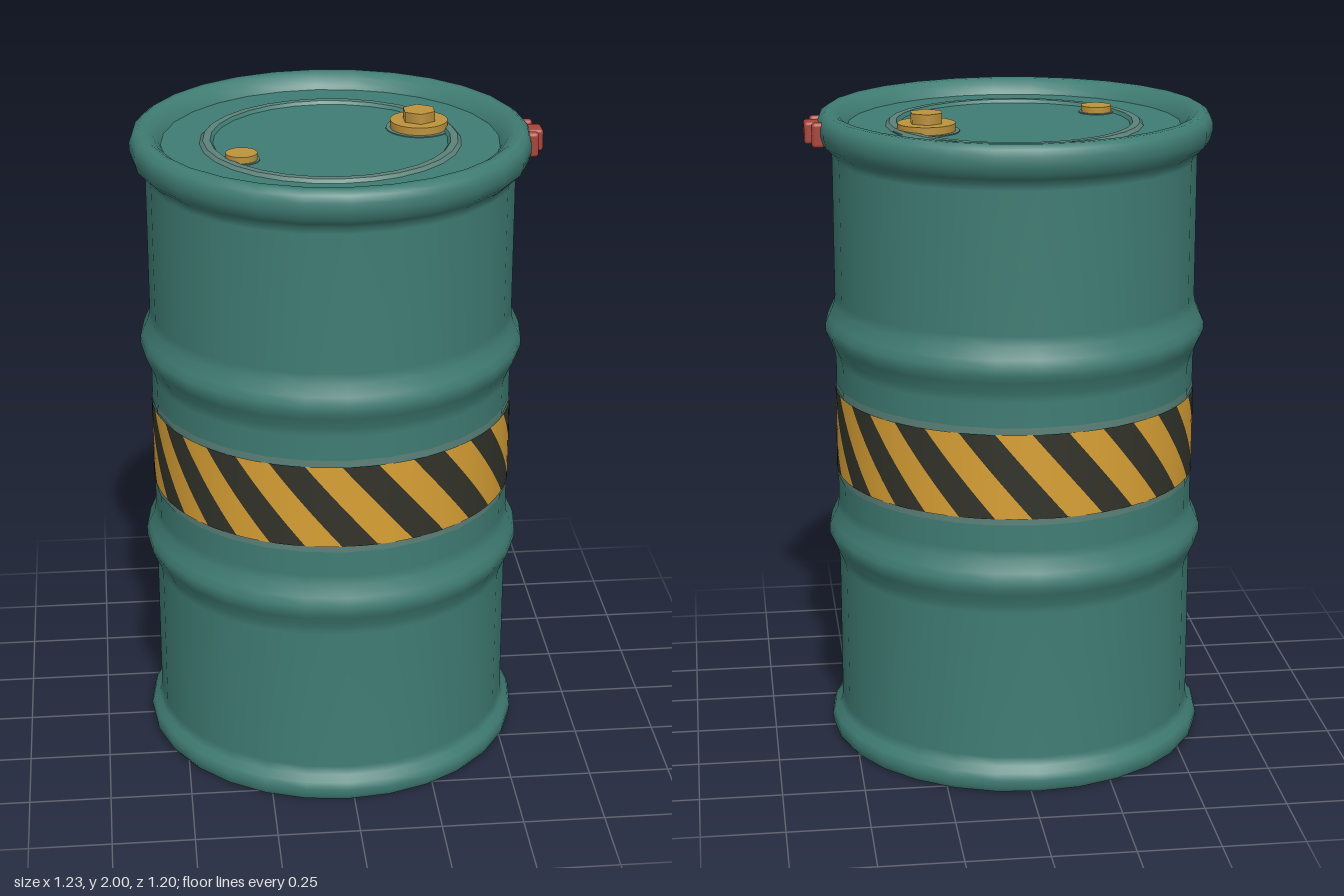
import * as THREE from 'three';
import { mergeGeometries } from 'three/addons/utils/BufferGeometryUtils.js';
import { RoundedBoxGeometry } from 'three/addons/geometries/RoundedBoxGeometry.js';

const SIDES = 28;
const AXIS_X = -0.02; // the clasp on one side pushes the drum off centre
const LID_Y = 1.943;

function material(name, color) {
  const m = new THREE.MeshStandardMaterial({ color });
  m.name = name;
  return m;
}

// Profile of [radius, height] pairs, running up the outside and in over the top
function lathe(profile) {
  return new THREE.LatheGeometry(profile.map(([r, y]) => new THREE.Vector2(r, y)), SIDES);
}

// Rolling hoop bulging out of the wall around height y
function hoop(y) {
  return [[0.553, y - 0.1], [0.558, y - 0.07], [0.574, y - 0.035], [0.584, y - 0.012],
    [0.584, y + 0.012], [0.574, y + 0.035], [0.558, y + 0.07], [0.553, y + 0.1]];
}

// Slanted patches wrapped around the wall; every second one belongs to each colour
function stripes(offset) {
  const count = 16, radius = 0.556, height = 0.26;
  const pitch = (Math.PI * 2) / count;
  const patches = [];
  for (let i = 0; i < count; i++) {
    const g = new THREE.CylinderGeometry(radius, radius, height, 4, 8, true,
      (i + offset) * pitch, pitch / 2);
    const p = g.attributes.position, n = g.attributes.normal;
    for (let v = 0; v < p.count; v++) {
      const a = Math.atan2(p.getX(v), p.getZ(v)) - (p.getY(v) / height) * pitch;
      p.setXYZ(v, radius * Math.sin(a), p.getY(v), radius * Math.cos(a));
      n.setXYZ(v, Math.sin(a), 0, Math.cos(a));
    }
    patches.push(g);
  }
  return mergeGeometries(patches);
}

export function createModel() {
  const green = material('drumGreen', 0x3f7c73);
  const worn = material('wornPaint', 0x5c8179);
  const yellow = material('hazardYellow', 0xd8a034);
  const black = material('hazardBlack', 0x33332b);
  const brass = material('brass', 0xbc923d);
  const red = material('claspRed', 0xa8433a);

  const model = new THREE.Group();
  model.name = 'drum';
  const barrel = new THREE.Group();
  barrel.name = 'barrel';
  barrel.position.x = AXIS_X;
  model.add(barrel);

  function add(parent, name, geometry, mat, x = 0, y = 0, z = 0) {
    const mesh = new THREE.Mesh(geometry, mat);
    mesh.name = name;
    mesh.position.set(x, y, z);
    parent.add(mesh);
  }

  // Wall with bottom flare, two rolling hoops and the rolled rim in one sweep
  add(barrel, 'wall', lathe([
    [0.575, 0.002], [0.584, 0.015], [0.587, 0.04], [0.58, 0.062], [0.563, 0.08], [0.553, 0.105],
    ...hoop(0.67), ...hoop(1.325),
    [0.553, 1.85], [0.556, 1.872], [0.574, 1.887], [0.59, 1.903], [0.598, 1.93], [0.598, 1.955],
    [0.59, 1.976], [0.572, 1.989], [0.55, 1.988], [0.528, 1.974], [0.512, 1.955], [0.505, LID_Y],
  ]), green);

  // Dished base and its scuffed foot edge
  add(barrel, 'base', lathe([[0, 0.042], [0.49, 0.042], [0.535, 0.03], [0.558, 0]]), green);
  add(barrel, 'footEdge', lathe([[0.558, 0], [0.575, 0.002]]), worn);

  // Lid with a pressed ring
  add(barrel, 'lid', lathe([[0.51, LID_Y], [0, LID_Y]]), green);
  add(barrel, 'ringOuterSlope', lathe([[0.39, LID_Y], [0.38, LID_Y + 0.01]]), worn);
  add(barrel, 'ringTop', lathe([[0.38, LID_Y + 0.01], [0.358, LID_Y + 0.01]]), worn);
  add(barrel, 'ringInnerSlope', lathe([[0.358, LID_Y + 0.01], [0.35, LID_Y]]), green);

  // Hazard band with faded borders
  add(barrel, 'yellowStripes', stripes(-0.08), yellow, 0, 1);
  add(barrel, 'blackStripes', stripes(0.42), black, 0, 1);
  for (const y of [0.86, 1.14]) {
    add(barrel, 'bandBorder', new THREE.CylinderGeometry(0.5545, 0.5545, 0.02, SIDES, 1, true), worn, 0, y);
  }

  // Bungs: a large one with a hexagon head and a small plain one
  const disc = (r, h, n) => new THREE.CylinderGeometry(r, r, h, n);
  add(model, 'largeBungScuff', disc(0.1, 0.004, 24), worn, 0.256, LID_Y + 0.001, -0.095);
  add(model, 'largeBung', disc(0.087, 0.026, 24), brass, 0.256, LID_Y + 0.013, -0.095);
  add(model, 'largeBungHead', disc(0.052, 0.04, 6), brass, 0.256, 1.98, -0.095);
  add(model, 'smallBungScuff', disc(0.054, 0.004, 20), worn, -0.294, LID_Y + 0.001, 0.155);
  add(model, 'smallBung', disc(0.047, 0.022, 20), brass, -0.294, LID_Y + 0.011, 0.155);

  // Rim clasp: a block between two lugs
  const clasp = new THREE.Group();
  clasp.name = 'clasp';
  model.add(clasp);
  add(clasp, 'claspBlock', new RoundedBoxGeometry(0.054, 0.068, 0.064, 2, 0.01), red, 0.589, 1.932, 0);
  for (const side of [-1, 1]) {
    add(clasp, 'claspLug', new RoundedBoxGeometry(0.04, 0.076, 0.028, 2, 0.011), red,
      0.576, 1.932, side * 0.063);
  }
  return model;
}
